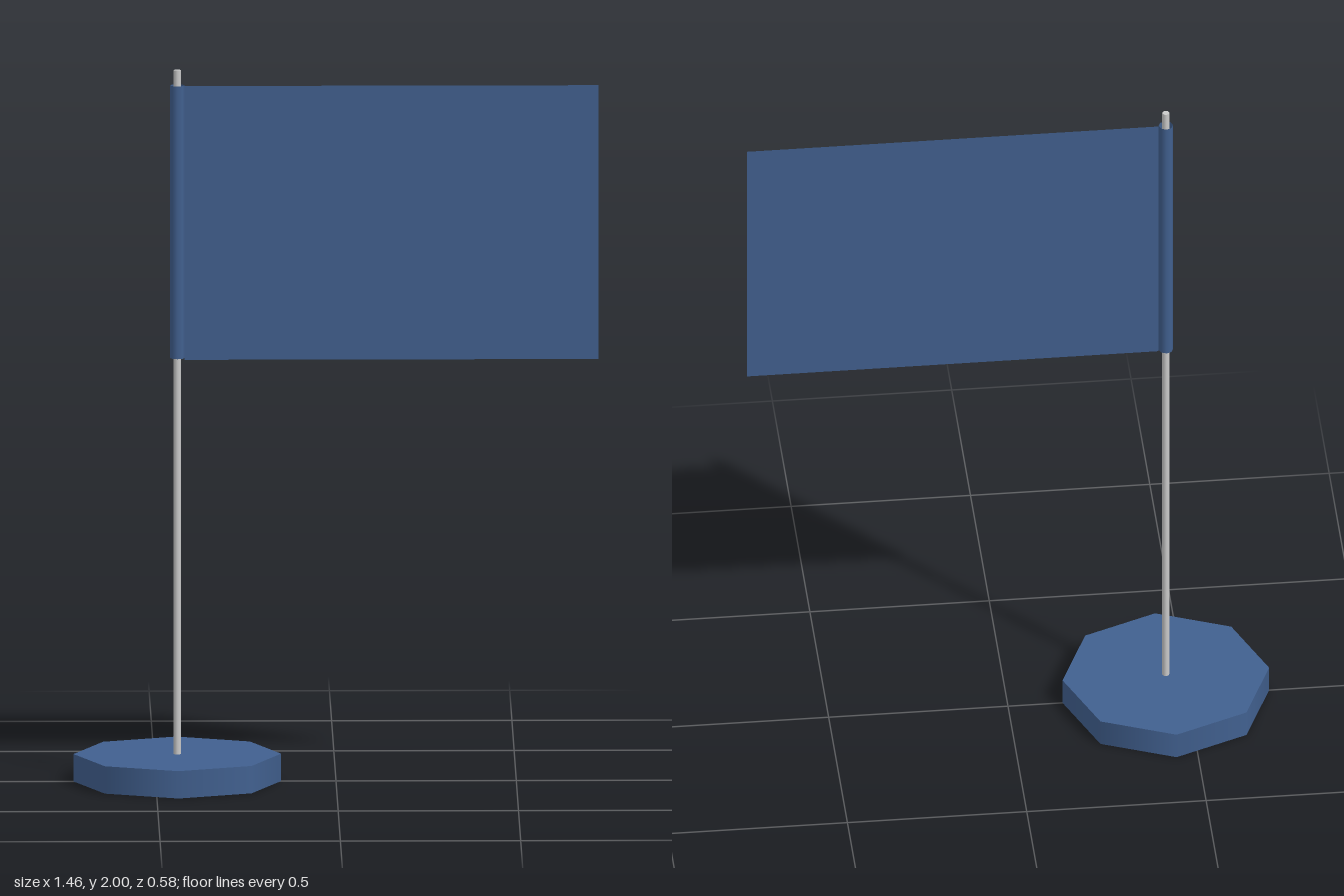
import * as THREE from 'three';

const POLE_X = -0.44;

export function createModel() {
  const group = new THREE.Group();
  const blue = new THREE.MeshStandardMaterial({ color: 0x41608f });
  const cloth = new THREE.MeshStandardMaterial({ color: 0x41608f, side: THREE.DoubleSide });
  const grey = new THREE.MeshStandardMaterial({ color: 0xcccccc });

  function add(name, geometry, material, x, y) {
    const mesh = new THREE.Mesh(geometry, material);
    mesh.name = name;
    mesh.position.set(x, y, 0);
    group.add(mesh);
  }

  // Upright cylinder on the pole axis, between two heights
  function upright(name, radius, y0, y1, material, open = false) {
    const geometry = new THREE.CylinderGeometry(radius, radius, y1 - y0, 8, 1, open);
    add(name, geometry, material, POLE_X, (y0 + y1) / 2);
  }

  // Octagonal foot, thin pole and the open sleeve around it
  upright('base', 0.288, 0, 0.077, blue);
  upright('pole', 0.01, 0.077, 2, grey);
  upright('sleeve', 0.02, 1.19, 1.957, cloth, true);

  // Flat cloth from the sleeve to the free edge
  const x0 = POLE_X + 0.02, x1 = 0.728, y0 = 1.185, y1 = 1.955;
  add('flag', new THREE.PlaneGeometry(x1 - x0, y1 - y0), cloth, (x0 + x1) / 2, (y0 + y1) / 2);

  return group;
}
